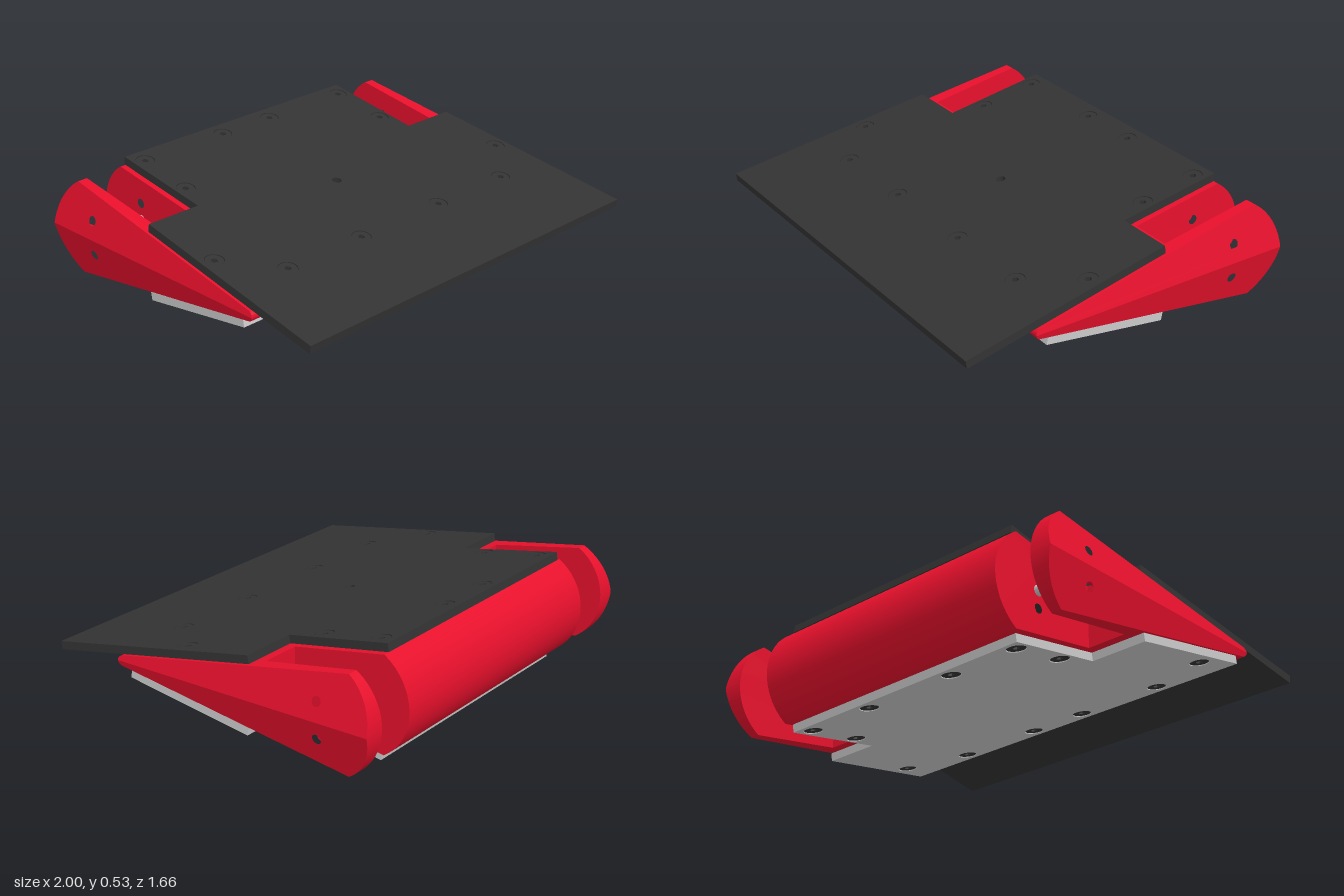
import * as THREE from 'three';
import { toCreasedNormals } from 'three/addons/utils/BufferGeometryUtils.js';

const RED = new THREE.MeshStandardMaterial({ color: 0xe8102c });
const BLACK = new THREE.MeshStandardMaterial({ color: 0x333333 });
const GREY = new THREE.MeshStandardMaterial({ color: 0xcccccc });

const MID = 0.27;            // height of the wedge's centre plane
const TILT = 0.168;          // slope angle of the plates, radians
const THICK = 0.038;         // plate thickness
const NOSE = { u: -0.465, r: 0.025 };
const BACK = { u: 0.705, y: 0.224, cu: 0.567, r: 0.263 };
const PIN = { u: 0.57, y: 0.083, r: 0.022 };
const SLOT = 0.25;           // where the side slots begin
const BLOCK_X = 0.705, ARM_X = 0.895;

function mesh(name, geometry, material) {
  const m = new THREE.Mesh(geometry, material);
  m.name = name;
  return m;
}

function circle(x, y, r) {
  return new THREE.Path().absarc(x, y, r, 0, Math.PI * 2, true);
}

// Upper half outline of the wedge, u pointing to the back
function upperOutline(cut) {
  const p = [];
  for (let i = 0; i <= 8; i++) {
    const a = Math.PI + (Math.PI / 2 + TILT - Math.PI) * i / 8;
    p.push(new THREE.Vector2(NOSE.u + NOSE.r * Math.cos(a), NOSE.r * Math.sin(a)));
  }
  if (cut !== undefined) {
    const t = p[p.length - 1];
    const k = (cut - t.x) / (BACK.u - t.x);
    p.push(new THREE.Vector2(cut, t.y + (BACK.y - t.y) * k), new THREE.Vector2(cut, 0));
    return p;
  }
  const start = Math.atan2(BACK.y, BACK.u - BACK.cu);
  for (let i = 0; i <= 16; i++) {
    const a = start * (1 - i / 16);
    p.push(new THREE.Vector2(BACK.cu + BACK.r * Math.cos(a), BACK.r * Math.sin(a)));
  }
  return p;
}

// Whole outline, the upper half mirrored below
function fullOutline(cut) {
  const up = upperOutline(cut);
  const down = up.slice(1, -1).reverse().map(v => new THREE.Vector2(v.x, -v.y));
  return up.concat(down);
}

// Extrudes an outline sideways from x0 to x1; taper leans the outer face inward
function sideways(points, holes, x0, x1, taper = 0) {
  const shape = new THREE.Shape(points);
  shape.holes = holes;
  const g = new THREE.ExtrudeGeometry(shape, { depth: x1 - x0, bevelEnabled: false, curveSegments: 12 });
  g.rotateY(Math.PI / 2).translate(x0, 0, 0);
  const p = g.attributes.position;
  for (let i = 0; i < p.count; i++) {
    if (p.getX(i) > x1 - 1e-4) p.setX(i, x1 - taper * Math.abs(p.getY(i)));
  }
  return toCreasedNormals(g, 0.5);
}

function rod(name, r, x0, x1, y, material) {
  const m = mesh(name, new THREE.CylinderGeometry(r, r, x1 - x0, 24).rotateZ(Math.PI / 2), material);
  m.position.set((x0 + x1) / 2, y, -PIN.u);
  return m;
}

// One side: bridge in front of the slot, tapered arm, axle stub
function side(name) {
  const g = new THREE.Group();
  g.name = name;
  g.add(mesh('bridge', sideways(fullOutline(SLOT), [], BLOCK_X, ARM_X), RED));
  const half = sideways(upperOutline(), [circle(PIN.u, PIN.y, PIN.r)], ARM_X, 1, 0.25);
  for (const s of [1, -1]) {
    const arm = mesh(s > 0 ? 'armUpperHalf' : 'armLowerHalf', half, RED);
    arm.scale.y = s;
    g.add(arm, rod('armHolePlug', PIN.r, 0.915, 0.945, s * PIN.y, RED));
  }
  g.add(rod('axleStub', 0.025, 0.69, 0.875, 0, GREY));
  return g;
}

// Countersunk screw with a hexagonal socket, its top at y = 0
function screwGeometry() {
  const shape = new THREE.Shape().absarc(0, 0, 0.042, 0, Math.PI * 2, false);
  const hex = [];
  for (let i = 0; i < 6; i++) {
    hex.push(new THREE.Vector2(0.016 * Math.cos(-i * Math.PI / 3), 0.016 * Math.sin(-i * Math.PI / 3)));
  }
  shape.holes.push(new THREE.Path(hex));
  const g = new THREE.ExtrudeGeometry(shape, { depth: 0.03, bevelEnabled: false, curveSegments: 16 });
  return toCreasedNormals(g.rotateX(Math.PI / 2), 0.6);
}

// Stepped plate lying from z = 0 (back) forward, outer surface at y = 0
function plate(name, o) {
  const g = new THREE.Group();
  g.name = name;
  const along = z => (z - o.back) / Math.cos(TILT);
  const right = [[0.68, along(o.back)], [0.68, along(o.notch)], [o.notchX, along(o.notch)], [o.frontX, along(o.front)]];
  const left = right.slice().reverse().map(([x, s]) => [-x, s]);
  const shape = new THREE.Shape(right.concat(left).map(([x, s]) => new THREE.Vector2(x, s)));
  const spots = o.screws.flatMap(([x, z]) => [[x, along(z)], [-x, along(z)]]);
  for (const [x, s] of spots) shape.holes.push(circle(x, s, 0.044));
  if (o.centreHole !== undefined) shape.holes.push(circle(0, along(o.centreHole), 0.022));
  const geo = new THREE.ExtrudeGeometry(shape, { depth: THICK, bevelEnabled: false, curveSegments: 16 });
  g.add(mesh('panel', toCreasedNormals(geo.rotateX(Math.PI / 2), 0.6), o.material));

  const screw = screwGeometry();
  const floor = new THREE.CylinderGeometry(0.044, 0.044, 0.014, 24);
  for (const [x, s] of spots) {
    const head = mesh('screw', screw, BLACK);
    head.position.set(x, -0.003, s);
    const base = mesh('socketFloor', floor, BLACK);
    base.position.set(x, -0.03, s);
    g.add(head, base);
  }
  return g;
}

export function createModel() {
  const model = new THREE.Group();
  model.name = 'wedgeAssembly';

  // Red wedge body
  const body = new THREE.Group();
  body.name = 'wedgeBody';
  body.position.y = MID;
  const holes = [1, -1].map(s => circle(PIN.u, s * PIN.y, PIN.r));
  body.add(mesh('centreBlock', sideways(fullOutline(), holes, -BLOCK_X, BLOCK_X), RED));
  for (const s of [1, -1]) {
    body.add(rod('blockHolePlug', PIN.r, 0.03 - BLOCK_X, BLOCK_X - 0.03, s * PIN.y, RED));
    const part = side(s > 0 ? 'leftSide' : 'rightSide');
    part.scale.x = s;
    body.add(part);
  }
  model.add(body);

  // Dark top plate, overhanging the nose
  const top = plate('topPlate', {
    back: -0.703, notch: -0.2, front: 0.832, notchX: 0.955, frontX: 1, centreHole: 0.02 - 0.04,
    screws: [[0.62, -0.63], [0.15, -0.63], [0.625, -0.345], [0.907, 0.165], [0.69, 0.38], [0.25, 0.38]],
    material: BLACK,
  });
  top.position.set(0, 0.535, -0.703);
  top.rotation.x = TILT;
  model.add(top);

  // Grey bottom plate, mirrored to face down
  const bottom = plate('bottomPlate', {
    back: -0.675, notch: -0.195, front: 0.43, notchX: 0.96, frontX: 0.985,
    screws: [[0.62, -0.61], [0.25, -0.61], [0.625, -0.345], [0.905, 0.26], [0.59, 0.365], [0.15, 0.365]],
    material: GREY,
  });
  bottom.position.set(0, 0.005, -0.675);
  bottom.rotation.x = -TILT - 0.006;
  bottom.scale.y = -1;
  model.add(bottom);

  return model;
}
